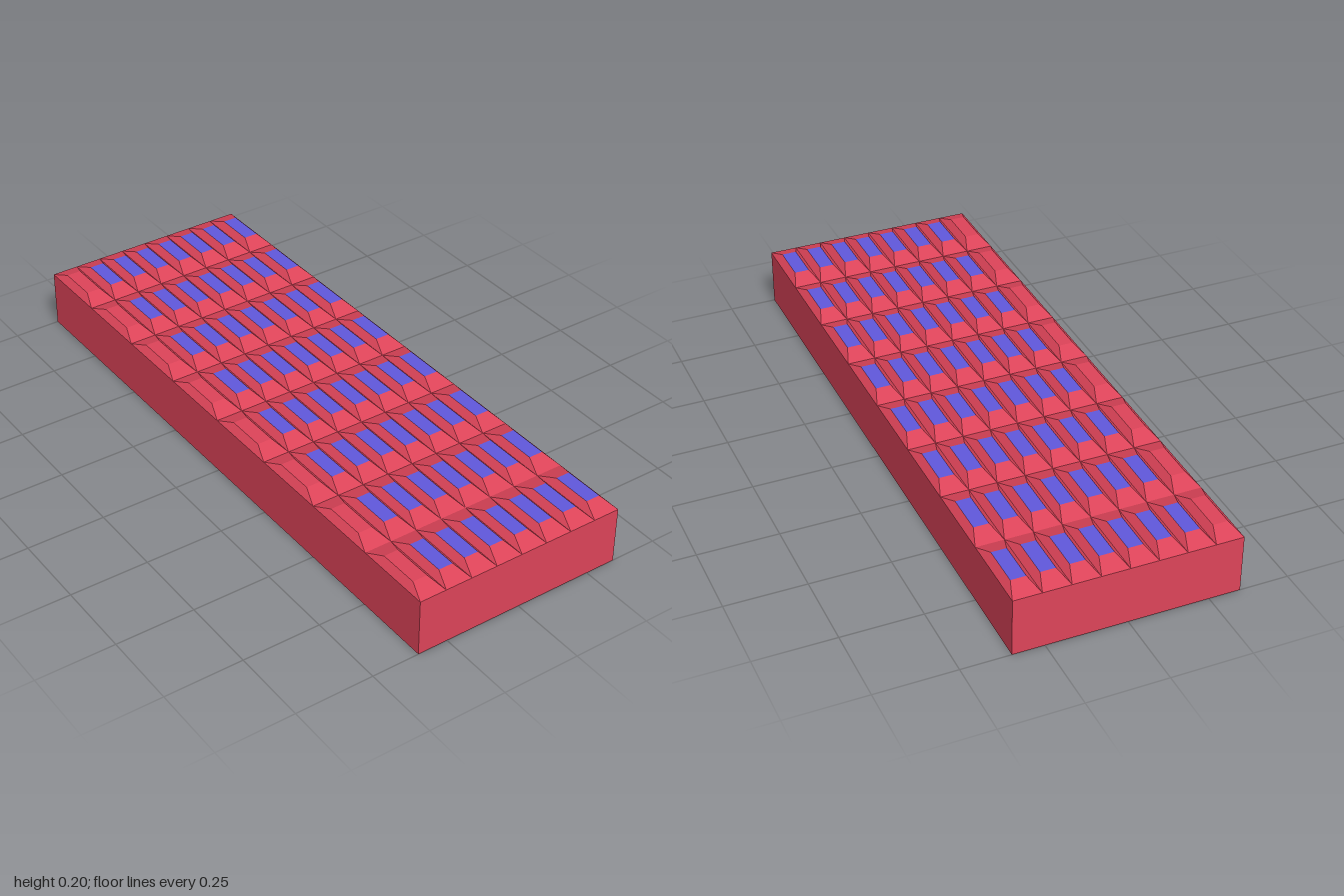
import * as THREE from 'three';

const COLS = 8, ROWS = 8;
const WIDTH = 0.696, DEPTH = 2;
const BODY_H = 0.185, TILE_H = 0.02;
const INSET_X = 0.02, INSET_Z = 0.06;
const CELL_X = WIDTH / COLS, CELL_Z = DEPTH / ROWS;

// Four sloping sides of a truncated pyramid, open at top and bottom
function bevelGeometry() {
  const box = new THREE.BoxGeometry(CELL_X, TILE_H, CELL_Z);
  const pos = box.attributes.position;
  for (let i = 0; i < pos.count; i++) {
    if (pos.getY(i) > 0) {
      pos.setX(i, pos.getX(i) - Math.sign(pos.getX(i)) * INSET_X);
      pos.setZ(i, pos.getZ(i) - Math.sign(pos.getZ(i)) * INSET_Z);
    }
  }
  // skip the top and bottom faces (indices 12 to 23)
  const index = Array.from(box.index.array).filter((_, i) => i < 12 || i >= 24);
  box.setIndex(index);
  box.clearGroups();
  box.computeVertexNormals();
  return box.translate(0, TILE_H / 2, 0);
}

export function createModel() {
  const model = new THREE.Group();
  model.name = 'studdedSlab';
  const red = new THREE.MeshStandardMaterial({ color: 0xdd4459, flatShading: true });
  const blue = new THREE.MeshStandardMaterial({ color: 0x6058dc, flatShading: true });

  // Solid slab
  const body = new THREE.Mesh(new THREE.BoxGeometry(WIDTH, BODY_H, DEPTH), red);
  body.name = 'body';
  body.position.y = BODY_H / 2;
  model.add(body);

  // Grid of bevelled tiles: the first column is red, the rest have blue caps
  const bevel = bevelGeometry();
  const cap = new THREE.PlaneGeometry(CELL_X - 2 * INSET_X, CELL_Z - 2 * INSET_Z)
    .rotateX(-Math.PI / 2).translate(0, TILE_H, 0);
  for (let c = 0; c < COLS; c++) {
    for (let r = 0; r < ROWS; r++) {
      const tile = new THREE.Group();
      tile.name = 'tile';
      const sides = new THREE.Mesh(bevel, red);
      sides.name = 'tileBevel';
      const top = new THREE.Mesh(cap, c === 0 ? red : blue);
      top.name = 'tileCap';
      tile.add(sides, top);
      tile.position.set((c + 0.5) * CELL_X - WIDTH / 2, BODY_H, (r + 0.5) * CELL_Z - DEPTH / 2);
      model.add(tile);
    }
  }
  return model;
}
